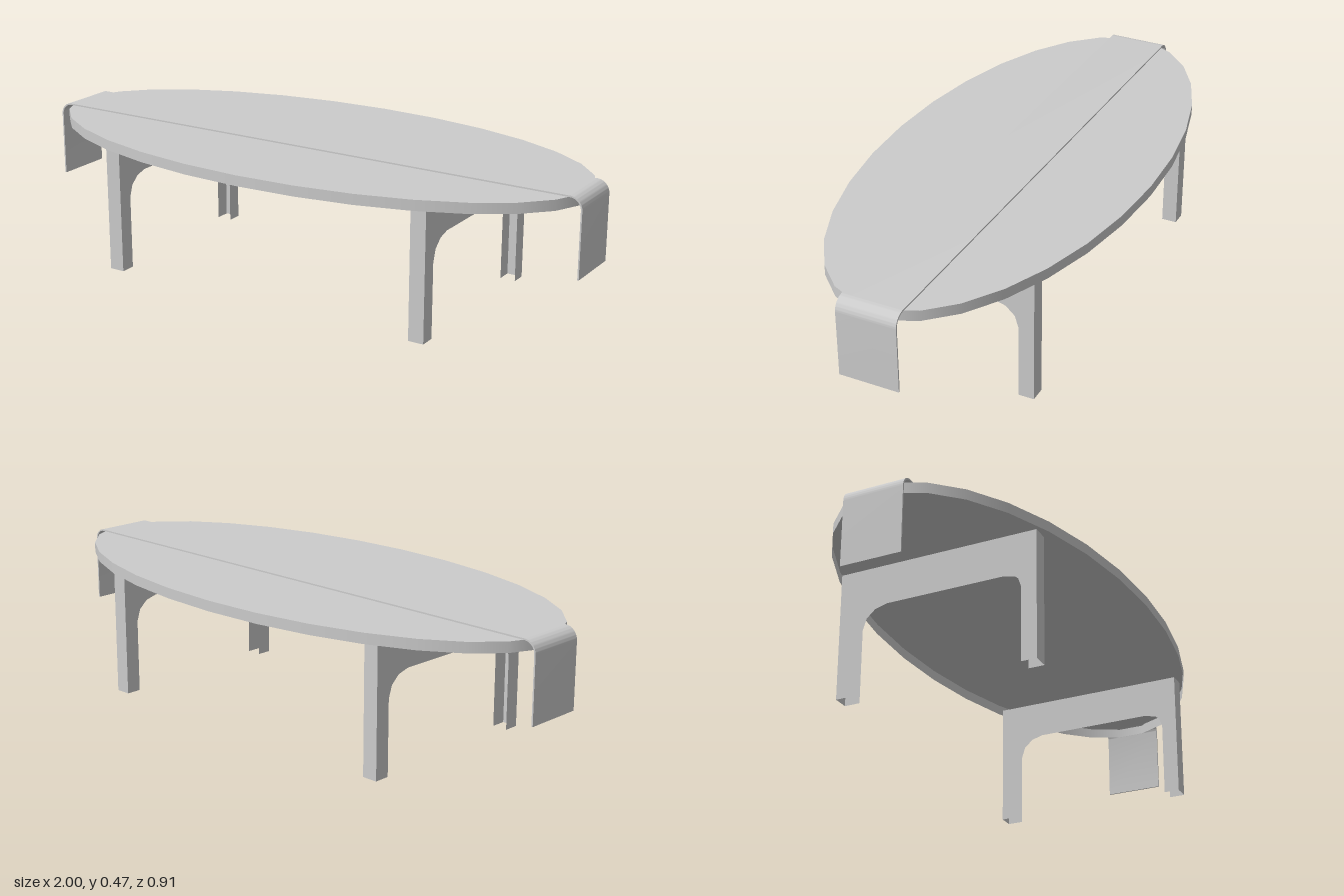
import * as THREE from 'three';
import { toCreasedNormals } from 'three/addons/utils/BufferGeometryUtils.js';

const material = new THREE.MeshStandardMaterial({ color: 0xcccccc, side: THREE.DoubleSide });
const TOP = 0.467, UNDER = 0.432;

function add(parent, name, geometry, x = 0, y = 0, z = 0) {
  const mesh = new THREE.Mesh(geometry, material);
  mesh.name = name;
  mesh.position.set(x, y, z);
  parent.add(mesh);
  return mesh;
}

// Oval tabletop: a flat cap with a shallow rim, hollow underneath
function makeTabletop() {
  const top = new THREE.Group();
  top.name = 'tabletop';
  const rim = new THREE.CylinderGeometry(1, 1, TOP - UNDER, 30, 1, true);
  add(top, 'tabletopRim', rim, 0, (TOP + UNDER) / 2).scale.set(0.98, 1, 0.455);
  const cap = new THREE.CircleGeometry(1, 30, Math.PI / 2).rotateX(-Math.PI / 2);
  add(top, 'tabletopSurface', cap, 0, TOP).scale.set(0.98, 1, 0.455);
  return top;
}

// Arched leg frame: a folded channel, open on the inside of the arch
function makeLegFrame() {
  const frame = new THREE.Group();
  frame.name = 'legFrame';
  const width = 0.053, half = 0.34;
  const arch = [[0.288, 0], [0.288, 0.25], [0.275, 0.29], [0.245, 0.317], [0.205, 0.328]];
  const outline = [
    [-half, 0], [-half, UNDER], [half, UNDER], [half, 0],
    ...arch,
    ...arch.map(([z, y]) => [-z, y]).reverse(),
  ].map(([z, y]) => new THREE.Vector2(z, y));
  const side = new THREE.ShapeGeometry(new THREE.Shape(outline));
  for (const s of [-1, 1]) {
    add(frame, 'archPlate', side, s * width / 2).rotation.y = s * Math.PI / 2;
    const outer = add(frame, 'legOuterPlate', new THREE.PlaneGeometry(width, UNDER), 0, UNDER / 2, s * half);
    if (s < 0) outer.rotation.y = Math.PI;
  }
  add(frame, 'frameTopPlate', new THREE.PlaneGeometry(width, 2 * half).rotateX(-Math.PI / 2), 0, UNDER);
  return frame;
}

// Runner: a thin strip along the top that bends down over both ends
function makeRunner() {
  const y = 0.473, end = 1, drop = 0.212, r = 0.042, t = 0.005;
  const shape = new THREE.Shape();
  shape.moveTo(end, drop);
  shape.lineTo(end, y - r);
  shape.absarc(end - r, y - r, r, 0, Math.PI / 2);
  shape.lineTo(-end + r, y);
  shape.absarc(-end + r, y - r, r, Math.PI / 2, Math.PI);
  shape.lineTo(-end, drop);
  shape.lineTo(-end + t, drop);
  shape.lineTo(-end + t, y - r);
  shape.absarc(-end + r, y - r, r - t, Math.PI, Math.PI / 2, true);
  shape.lineTo(end - r, y - t);
  shape.absarc(end - r, y - r, r - t, Math.PI / 2, 0, true);
  shape.lineTo(end - t, drop);
  shape.closePath();
  const geometry = new THREE.ExtrudeGeometry(shape, { depth: 0.2, bevelEnabled: false, curveSegments: 10 });
  return toCreasedNormals(geometry.translate(0, 0, -0.1), 0.6);
}

export function createModel() {
  const table = new THREE.Group();
  table.name = 'table';
  table.add(makeTabletop());
  for (const x of [-0.58, 0.58]) {
    const frame = makeLegFrame();
    frame.position.x = x;
    table.add(frame);
  }
  add(table, 'runner', makeRunner());
  return table;
}
